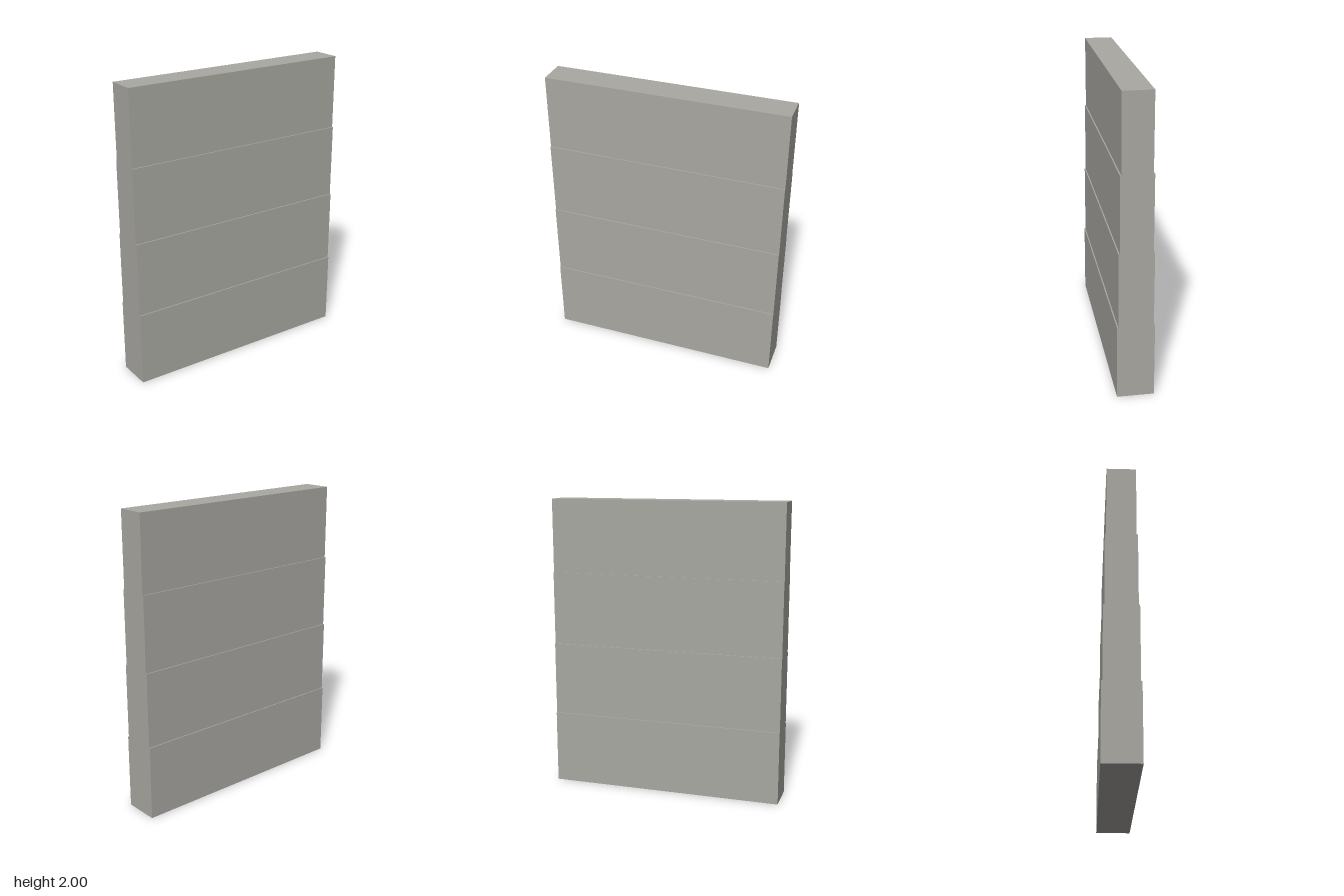
import * as THREE from 'three';

export function createModel() {
  const model = new THREE.Group();
  model.name = 'steppedWall';

  const concrete = new THREE.MeshStandardMaterial({ color: 0xa9a8a2 });
  concrete.name = 'concrete grey';

  const width = 1.6;
  const courseHeight = 0.5;
  const halfDepths = [0.12, 0.112, 0.104, 0.096]; // courses from bottom to top

  // Stepped side profile: up one face, then mirrored down the other
  const side = [];
  halfDepths.forEach((d, i) => {
    side.push([d, i * courseHeight], [d, (i + 1) * courseHeight]);
  });
  const mirrored = side.map(([d, y]) => [-d, y]).reverse();
  const profile = new THREE.Shape(
    [...side, ...mirrored].map(([d, y]) => new THREE.Vector2(d, y))
  );

  // Wall: the profile swept across the full width
  const geometry = new THREE.ExtrudeGeometry(profile, { depth: width, bevelEnabled: false });
  geometry.translate(0, 0, -width / 2);
  geometry.rotateY(Math.PI / 2);

  const wall = new THREE.Mesh(geometry, concrete);
  wall.name = 'wall';
  model.add(wall);

  return model;
}
